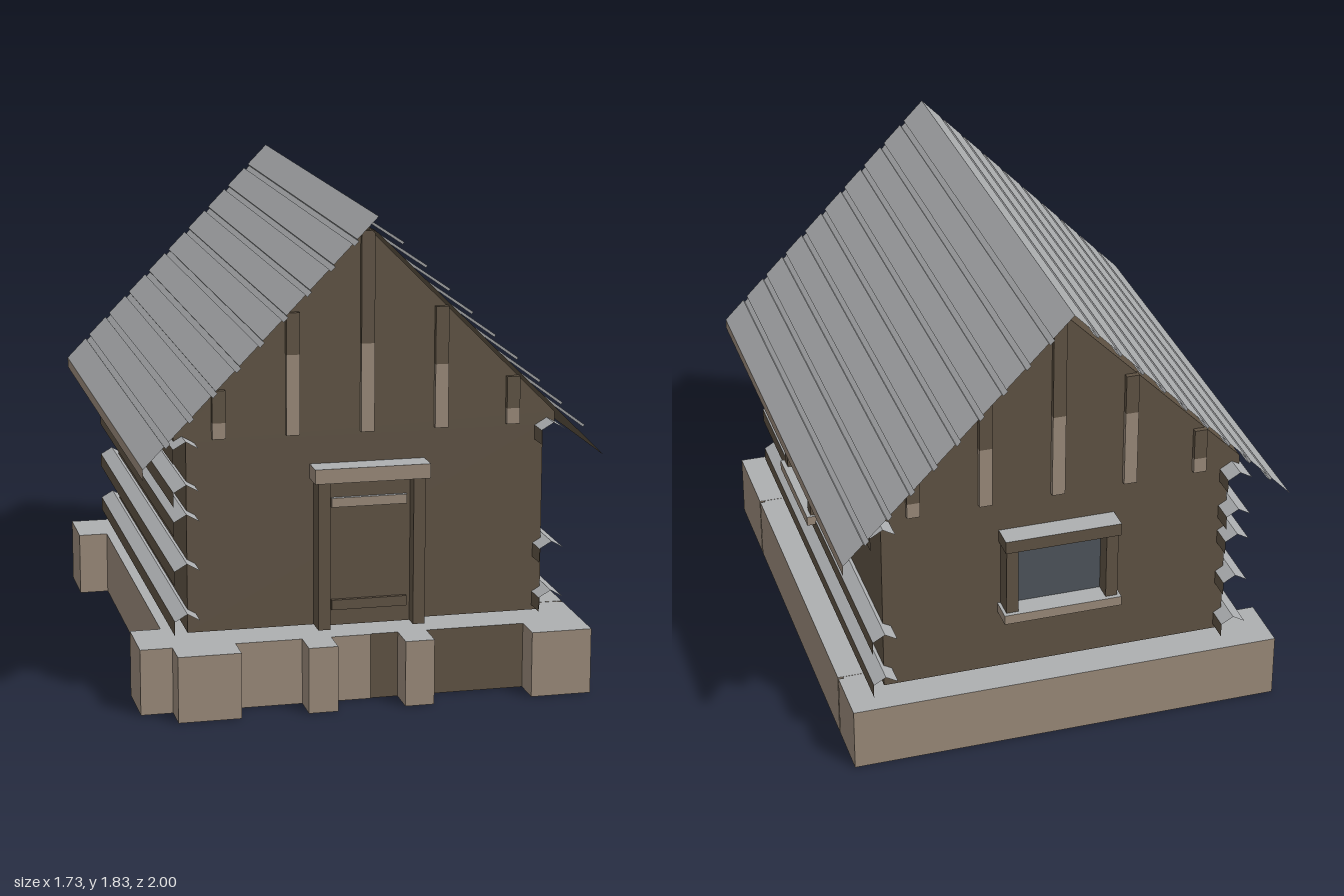
import * as THREE from 'three';

const mat = (name, color) => {
  const m = new THREE.MeshStandardMaterial({ color });
  m.name = name;
  return m;
};

export function createModel() {
  const brown = mat('darkTimber', 0x5d5142);
  const tan = mat('paleTimber', 0x978777);
  const grey = mat('weatheredGrey', 0xacaeb0);
  const glass = mat('windowGlass', 0x4c5259);
  const house = new THREE.Group();
  house.name = 'logCabin';

  const addMesh = (parent, name, geometry, material) => {
    const mesh = new THREE.Mesh(geometry, material);
    mesh.name = name;
    parent.add(mesh);
    return mesh;
  };

  // Box given by its limits; an optional second material covers the top
  const block = (parent, name, [x0, x1], [y0, y1], [z0, z1], side, top = side) => {
    const g = new THREE.BoxGeometry(x1 - x0, y1 - y0, z1 - z0);
    g.translate((x0 + x1) / 2, (y0 + y1) / 2, (z0 + z1) / 2);
    const m = top === side ? side : [side, side, top, side, side, side];
    return addMesh(parent, name, g, m);
  };

  // Open-ended sheet swept along z; the visible side is to the left of the path
  const sheet = (parent, name, points, z0, z1, material) => {
    const pos = [];
    for (let i = 0; i < points.length - 1; i++) {
      const [ax, ay] = points[i];
      const [bx, by] = points[i + 1];
      pos.push(ax, ay, z0, ax, ay, z1, bx, by, z1);
      pos.push(ax, ay, z0, bx, by, z1, bx, by, z0);
    }
    const g = new THREE.BufferGeometry();
    g.setAttribute('position', new THREE.Float32BufferAttribute(pos, 3));
    g.computeVertexNormals();
    return addMesh(parent, name, g, material);
  };

  // Foundation
  const base = new THREE.Group();
  base.name = 'foundation';
  house.add(base);
  const h = [0, 0.25];
  block(base, 'foundationCore', [-0.74, 0.8], [0.001, 0.249], [-0.9, 0.875], brown, grey);
  block(base, 'backBeam', [-0.865, 0.82], h, [-0.93, -0.7], tan, grey);
  block(base, 'rightBeam', [0.6, 0.82], h, [-0.69, 0.635], tan, grey);
  block(base, 'rightCornerBlock', [0.6, 0.82], h, [0.645, 0.88], tan, grey);
  block(base, 'leftBeam', [-0.75, -0.55], h, [-0.7, 0.65], tan, grey);
  block(base, 'leftCornerBlock', [-0.865, -0.55], h, [0.65, 0.885], tan, grey);
  block(base, 'frontBeam', [-0.55, 0], h, [0.7, 0.885], tan, grey);
  block(base, 'frontBeamDark', [0, 0.6], h, [0.7, 0.88], brown, grey);
  for (const [x0, x1] of [[-0.745, -0.51], [-0.26, -0.15], [0.105, 0.215], [0.59, 0.82]]) {
    block(base, 'frontPier', [x0, x1], h, [0.86, 1], tan, grey);
  }

  // Walls and the gabled upper storey
  const front = 0.81, back = -0.83, wallX = 0.675;
  block(house, 'walls', [-wallX, wallX], [0.28, 1], [back, front], brown);
  const gable = new THREE.Shape([
    [-0.72, 1], [0.72, 1], [0.72, 1.045], [0, 1.765], [-0.72, 1.045],
  ].map(([x, y]) => new THREE.Vector2(x, y)));
  const gableGeo = new THREE.ExtrudeGeometry(gable, { depth: front - back, bevelEnabled: false });
  gableGeo.translate(0, 0, back);
  addMesh(house, 'gables', gableGeo, brown);

  // Gable posts: pale below, dark towards the roof
  const posts = [[-0.555, 1.07, 1.19], [-0.28, 1.31, 1.465], [0, 1.34, 1.755],
    [0.28, 1.25, 1.465], [0.555, 1.07, 1.19]];
  for (const [x, split, top] of posts) {
    const w = [x - 0.025, x + 0.025];
    for (const z of [[front - 0.01, front + 0.02], [back - 0.02, back + 0.01]]) {
      block(house, 'gablePostLower', w, [1.01, split], z, tan);
      block(house, 'gablePostUpper', w, [split, top], z, brown);
    }
  }

  // Roof: planks with narrow grooves, eave boards and underside
  const eaveX = 0.86, planks = 10, step = eaveX / planks;
  const slope = (x) => 1.83 - (x * 0.88) / eaveX;
  const profile = [[0, slope(0)]];
  for (let i = 1; i < planks; i++) {
    const a = i * step - 0.008, b = i * step + 0.008;
    profile.push([a, slope(a)], [a - 0.006, slope(a) - 0.008],
      [b - 0.006, slope(b) - 0.008], [b, slope(b)]);
  }
  profile.push([eaveX, 0.95]);
  const underside = [[eaveX, 0.91], [0, 1.77]];
  const eave = [[eaveX, 0.95], [eaveX, 0.91]];
  const parts = [['roofPlanks', profile, grey], ['eaveBoard', eave, tan], ['roofUnderside', underside, brown]];
  for (const [name, path, material] of parts) {
    const mirrored = path.map(([x, y]) => [-x, y]).reverse();
    sheet(house, name + 'Left', path, -1, 0.98, material);
    sheet(house, name + 'Right', mirrored, -1, 0.98, material);
  }

  // Six-sided logs along both side walls, open at the ends
  const r = 0.054;
  const log = (x, y) => {
    const g = new THREE.Group();
    g.name = 'wallLog';
    const p = (k) => [x + r * Math.sin(k * Math.PI / 3), y + r * Math.cos(k * Math.PI / 3)];
    sheet(g, 'logTop', [p(-1), p(0), p(1)], -0.92, 0.9, grey);
    sheet(g, 'logBody', [p(1), p(2), p(3), p(4), p(5)], -0.92, 0.9, brown);
    house.add(g);
  };
  for (const y of [0.325, 0.515, 0.97]) log(0.69, y);
  for (const y of [0.325, 0.515, 0.7, 0.81, 0.97]) log(-0.69, y);

  // Window facing +z in its own frame, origin on the wall
  const windowUnit = (name) => {
    const g = new THREE.Group();
    g.name = name;
    block(g, 'glass', [-0.175, 0.175], [0.56, 0.835], [0, 0.008], glass);
    for (const s of [-1, 1]) {
      block(g, 'windowPost', [s * 0.195 - 0.023, s * 0.195 + 0.023], [0.56, 0.835], [0, 0.078], brown);
    }
    block(g, 'windowHeader', [-0.225, 0.225], [0.835, 0.885], [0, 0.09], brown, grey);
    block(g, 'windowSill', [-0.23, 0.23], [0.527, 0.565], [0, 0.095], tan, grey);
    house.add(g);
    return g;
  };
  const sideWindow = windowUnit('sideWindow');
  sideWindow.rotation.y = Math.PI / 2;
  sideWindow.position.set(wallX, 0, 0.197);
  const backWindow = windowUnit('backWindow');
  backWindow.rotation.y = Math.PI;
  backWindow.position.set(0, 0, back);

  // Door with posts, header and battens
  const door = new THREE.Group();
  door.name = 'door';
  house.add(door);
  block(door, 'doorPanel', [-0.155, 0.16], [0.28, 0.838], [front, 0.835], brown);
  block(door, 'upperBatten', [-0.14, 0.145], [0.735, 0.77], [0.83, 0.85], tan, grey);
  block(door, 'lowerBatten', [-0.14, 0.145], [0.342, 0.38], [0.83, 0.85], brown);
  block(door, 'doorPostRight', [-0.2, -0.155], [0.28, 0.84], [front, 0.89], brown);
  block(door, 'doorPostLeft', [0.16, 0.205], [0.28, 0.84], [front, 0.89], brown);
  block(door, 'doorHeader', [-0.215, 0.22], [0.84, 0.895], [front, 0.905], tan, grey);

  return house;
}
